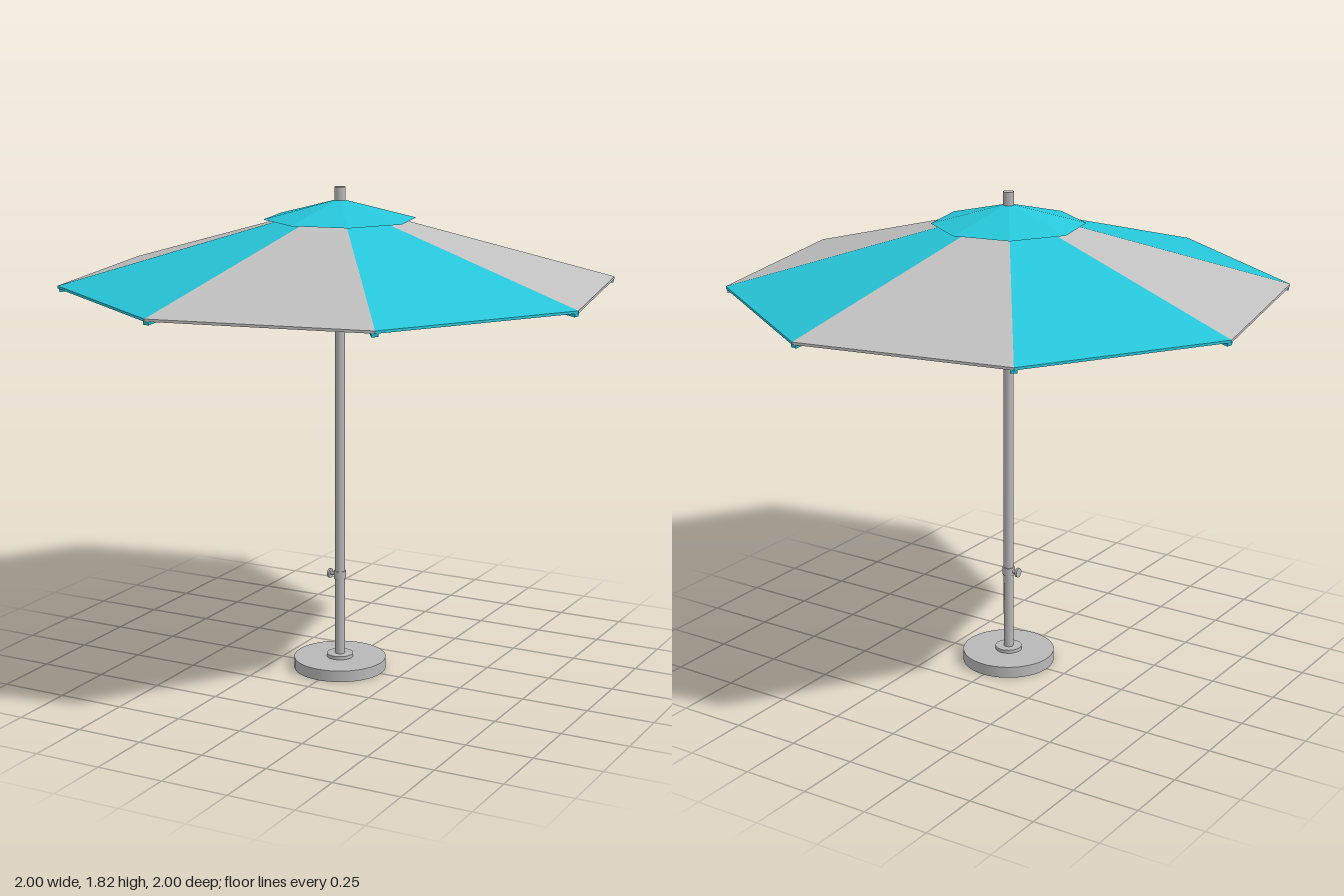
import * as THREE from 'three';

const teal = new THREE.MeshStandardMaterial({ name: 'teal fabric', color: 0x26c6da, side: THREE.DoubleSide });
const grey = new THREE.MeshStandardMaterial({ name: 'grey fabric', color: 0xc0c0c0, side: THREE.DoubleSide });
const metal = new THREE.MeshStandardMaterial({ name: 'grey metal', color: 0xb8b8b8 });

const SIDES = 8;
const START = THREE.MathUtils.degToRad(10.9);
const RIM = 1.018, RIM_Y = 1.477, SLOPE = 0.28;
const angle = (i) => START + (i * Math.PI * 2) / SIDES;
const polar = (a, r, y) => new THREE.Vector3(Math.cos(a) * r, y, Math.sin(a) * r);
const canopyY = (r) => RIM_Y + (RIM - r) * SLOPE;

function addMesh(parent, name, geometry, material) {
  const mesh = new THREE.Mesh(geometry, material);
  mesh.name = name;
  parent.add(mesh);
  return mesh;
}

// Upright cylinder between two heights
function post(parent, name, r, y0, y1, segments = 32, rTop = r) {
  const mesh = addMesh(parent, name, new THREE.CylinderGeometry(rTop, r, y1 - y0, segments), metal);
  mesh.position.y = (y0 + y1) / 2;
  return mesh;
}

// Box bar running from one point to another
function bar(parent, name, from, to, width, height, material) {
  const mesh = addMesh(parent, name, new THREE.BoxGeometry(width, height, from.distanceTo(to)), material);
  mesh.position.copy(from).add(to).multiplyScalar(0.5);
  mesh.lookAt(to);
  return mesh;
}

// One fabric segment: rows of [radius, height] joined between two spokes
function fabricPanel(i, rows) {
  const points = [];
  for (let k = 0; k < rows.length - 1; k++) {
    const [r0, y0] = rows[k], [r1, y1] = rows[k + 1];
    const a = polar(angle(i), r0, y0), b = polar(angle(i + 1), r0, y0);
    const c = polar(angle(i + 1), r1, y1), d = polar(angle(i), r1, y1);
    points.push(b, a, d);
    if (r1 > 0) points.push(b, d, c);
  }
  const geometry = new THREE.BufferGeometry().setFromPoints(points);
  geometry.computeVertexNormals();
  return geometry;
}

export function createModel() {
  const model = new THREE.Group();
  model.name = 'parasol';

  // Base and pole
  post(model, 'base', 0.173, 0, 0.043, 48);
  post(model, 'baseFlange', 0.05, 0.043, 0.056);
  post(model, 'pole', 0.0185, 0.05, 1.76, 24);
  post(model, 'finial', 0.02, 1.765, 1.82, 16);

  // Locking collar with a side knob
  post(model, 'lockCollar', 0.0225, 0.35, 0.38, 24);
  const knob = new THREE.Group();
  knob.name = 'lockKnob';
  const stem = addMesh(knob, 'knobStem', new THREE.CylinderGeometry(0.007, 0.007, 0.03, 12), metal);
  stem.position.y = 0.03;
  const head = addMesh(knob, 'knobHead', new THREE.CylinderGeometry(0.018, 0.018, 0.008, 16), metal);
  head.position.y = 0.042;
  knob.rotation.z = Math.PI / 2;
  knob.position.y = 0.365;
  model.add(knob);

  // Hubs that hold the ribs and struts
  post(model, 'topHub', 0.04, 1.695, 1.735);
  post(model, 'runner', 0.03, 1.44, 1.468, 24, 0.034);

  const canopy = new THREE.Group();
  canopy.name = 'canopy';
  const frame = new THREE.Group();
  frame.name = 'frame';
  model.add(canopy, frame);

  for (let i = 0; i < SIDES; i++) {
    const a = angle(i);

    // Striped canopy with a short hem, and the vent cap above it
    const rows = [[RIM, RIM_Y - 0.009], [RIM, RIM_Y], [0.2, canopyY(0.2)]];
    addMesh(canopy, 'canopyPanel', fabricPanel(i, rows), i % 2 ? grey : teal);
    addMesh(canopy, 'ventCap', fabricPanel(i, [[0.278, 1.705], [0, 1.777]]), teal);

    // Rib, strut and the fabric pocket on the rib tip
    const under = (r, drop) => polar(a, r, canopyY(r) - drop);
    bar(frame, 'rib', under(0.03, 0.03), under(1.0, 0.012), 0.014, 0.016, metal);
    bar(frame, 'strut', polar(a, 0.025, 1.455), under(0.45, 0.02), 0.01, 0.01, metal);
    bar(canopy, 'ribPocket', under(0.955, 0.022), under(1.012, 0.014), 0.024, 0.018, teal);
  }
  return model;
}
